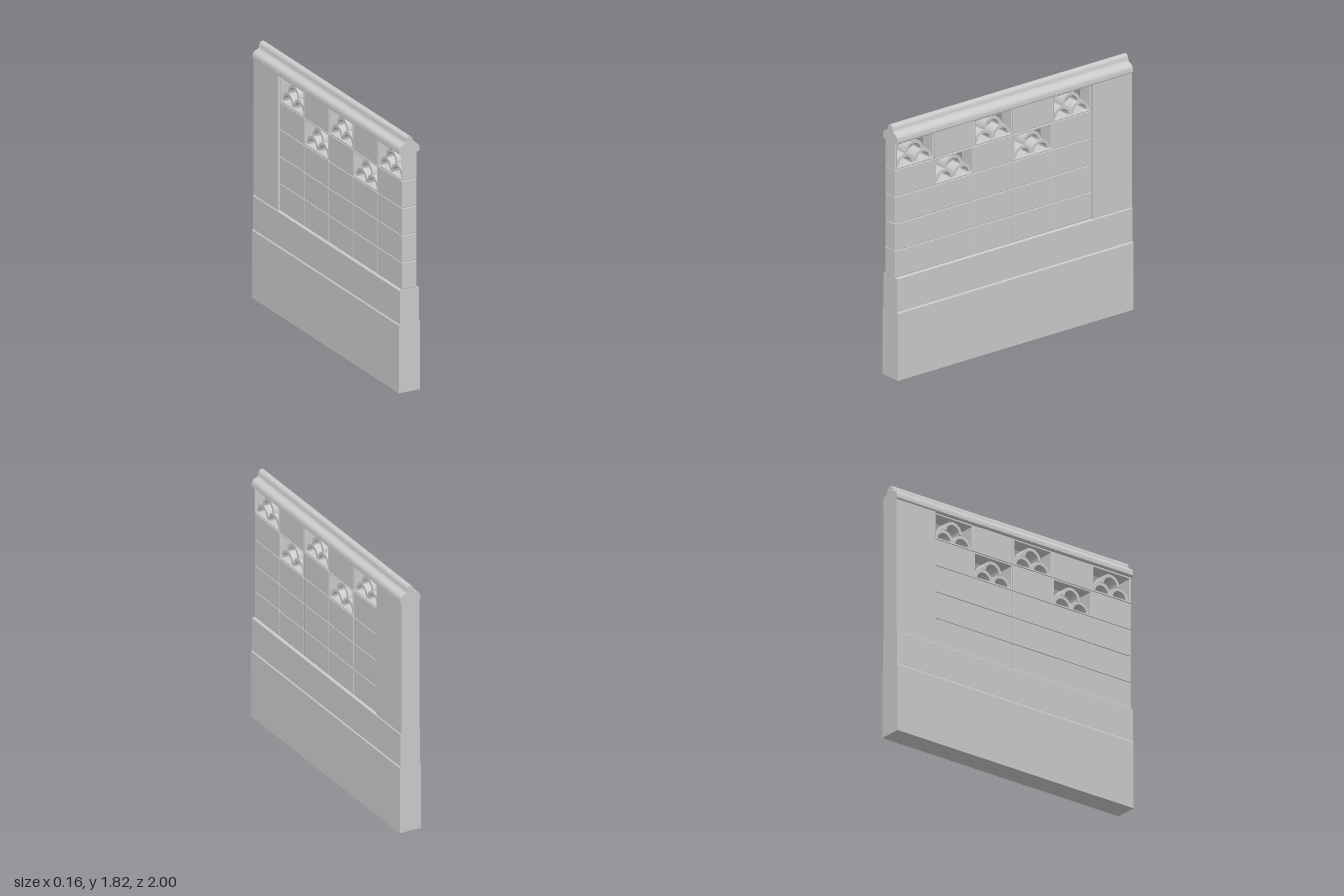
import * as THREE from 'three';
import { toCreasedNormals } from 'three/addons/utils/BufferGeometryUtils.js';
import { RoundedBoxGeometry } from 'three/addons/geometries/RoundedBoxGeometry.js';

const LENGTH = 2;
const PLINTH_TOP = 0.735, WALL_TOP = 1.705;
const COLS = 5, ROWS = 5;
const CELL_W = 1 / 3, CELL_H = (WALL_TOP - PLINTH_TOP) / ROWS;
const WALL_T = 0.112, BEVEL = 0.006;

const material = new THREE.MeshStandardMaterial({ color: 0xcccccc });

function add(parent, name, geometry, x = 0, y = 0, z = 0) {
  const mesh = new THREE.Mesh(geometry, material);
  mesh.name = name;
  mesh.position.set(x, y, z);
  parent.add(mesh);
  return mesh;
}

// Extrudes a profile and centres it on its depth
function extrude(shape, depth, bevel = 0) {
  const geometry = new THREE.ExtrudeGeometry(shape, {
    depth: depth - 2 * bevel, curveSegments: 16,
    bevelEnabled: bevel > 0, bevelThickness: bevel, bevelSize: bevel,
    bevelOffset: -bevel, bevelSegments: 1,
  });
  geometry.translate(0, 0, -depth / 2 + bevel);
  return toCreasedNormals(geometry, 0.6);
}

function rectangle(target, w, h) {
  target.moveTo(-w / 2, -h / 2);
  target.lineTo(w / 2, -h / 2);
  target.lineTo(w / 2, h / 2);
  target.lineTo(-w / 2, h / 2);
  target.closePath();
  return target;
}

// Stepped base of the wall, with a small slope between both widths
function plinthGeometry() {
  const half = [[0.081, 0], [0.081, 0.483], [0.074, 0.492], [0.074, 0.729], [0.068, PLINTH_TOP]];
  const mirrored = half.map(([x, y]) => [-x, y]).reverse();
  const points = [...half, ...mirrored].map(([x, y]) => new THREE.Vector2(x, y));
  return extrude(new THREE.Shape(points), LENGTH);
}

// Coping moulding: rounded shoulders, a cove and a ridge bead
function copingGeometry() {
  const s = new THREE.Shape();
  s.moveTo(-0.07, WALL_TOP);
  s.lineTo(0.07, WALL_TOP);
  s.lineTo(0.077, 1.712);
  s.lineTo(0.077, 1.732);
  s.bezierCurveTo(0.076, 1.752, 0.062, 1.765, 0.045, 1.768);
  s.bezierCurveTo(0.033, 1.771, 0.028, 1.78, 0.026, 1.795);
  s.bezierCurveTo(0.023, 1.833, -0.023, 1.833, -0.026, 1.795);
  s.bezierCurveTo(-0.028, 1.78, -0.033, 1.771, -0.045, 1.768);
  s.bezierCurveTo(-0.062, 1.765, -0.076, 1.752, -0.077, 1.732);
  s.lineTo(-0.077, 1.712);
  s.closePath();
  return extrude(s, LENGTH);
}

// Open frame for a pierced block
function frameGeometry() {
  const shape = rectangle(new THREE.Shape(), CELL_W, CELL_H);
  shape.holes.push(rectangle(new THREE.Path(), 0.304, 0.163));
  return extrude(shape, WALL_T, 0.004).rotateY(-Math.PI / 2);
}

// Half-ring tile that fills a frame
function scallopGeometry() {
  const shape = new THREE.Shape();
  shape.absarc(0, 0, 0.077, 0, Math.PI, false);
  shape.absarc(0, 0, 0.055, Math.PI, 0, true);
  shape.closePath();
  return extrude(shape, 0.088).rotateY(-Math.PI / 2);
}

export function createModel() {
  const wall = new THREE.Group();
  wall.name = 'gardenWall';

  add(wall, 'plinth', plinthGeometry());
  add(wall, 'coping', copingGeometry());

  // Solid pier at the back end
  const pierHeight = WALL_TOP - PLINTH_TOP;
  add(wall, 'pier', new THREE.BoxGeometry(0.138, pierHeight, CELL_W),
    0, PLINTH_TOP + pierHeight / 2, -1 + CELL_W / 2);

  // Grid of blocks; alternate cells of the upper two rows are pierced
  const block = new RoundedBoxGeometry(WALL_T, CELL_H, CELL_W, 2, BEVEL);
  const frame = frameGeometry();
  const scallop = scallopGeometry();
  for (let row = 0; row < ROWS; row++) {
    for (let col = 0; col < COLS; col++) {
      const y = PLINTH_TOP + (row + 0.5) * CELL_H;
      const z = 1 - (col + 0.5) * CELL_W;
      const pierced = row >= ROWS - 2 && (row + col) % 2 === 0;
      if (!pierced) {
        add(wall, 'block', block, 0, y, z);
        continue;
      }
      const screen = new THREE.Group();
      screen.name = 'piercedBlock';
      screen.position.set(0, y, z);
      add(screen, 'frame', frame);
      for (const side of [-1, 1]) add(screen, 'lowerScallop', scallop, 0, -0.082, side * 0.075);
      add(screen, 'upperScallop', scallop, 0, -0.002, 0);
      wall.add(screen);
    }
  }
  return wall;
}
